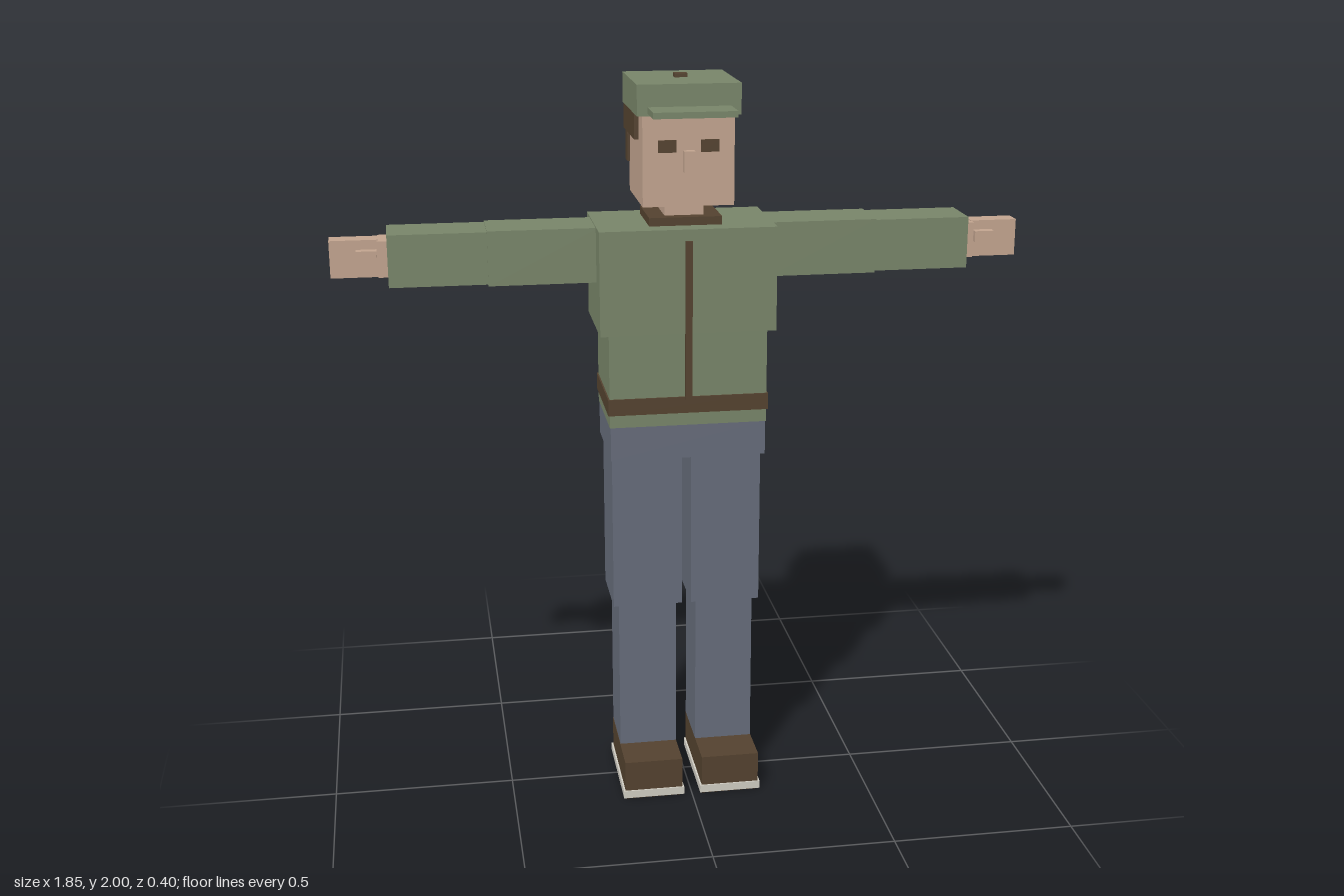
import * as THREE from 'three';

const material = (name, color) => {
  const m = new THREE.MeshStandardMaterial({ color });
  m.name = name;
  return m;
};

export function createModel() {
  const green = material('jacketGreen', 0x788569);
  const blue = material('trouserBlue', 0x666c7a);
  const skin = material('skin', 0xc2a48f);
  const brown = material('darkBrown', 0x54422f);
  const pale = material('solePale', 0xcfccc2);

  const model = new THREE.Group();
  model.name = 'figure';

  // Box given by its [min, max] range on each axis
  const box = (parent, name, mat, [x0, x1], [y0, y1], [z0, z1]) => {
    const mesh = new THREE.Mesh(new THREE.BoxGeometry(x1 - x0, y1 - y0, z1 - z0), mat);
    mesh.position.set((x0 + x1) / 2, (y0 + y1) / 2, (z0 + z1) / 2);
    mesh.name = name;
    parent.add(mesh);
  };
  const group = (name) => {
    const g = new THREE.Group();
    g.name = name;
    model.add(g);
    return g;
  };
  // Range symmetric about x = 0
  const wide = (h) => [-h, h];

  // Head and face
  const head = group('head');
  box(head, 'skull', skin, wide(0.12), [1.675, 1.912], [-0.172, 0.087]);
  box(head, 'nose', skin, wide(0.015), [1.765, 1.82], [0.08, 0.109]);
  box(head, 'neck', skin, wide(0.052), [1.63, 1.68], [-0.1, 0.01]);
  box(head, 'backHair', brown, wide(0.127), [1.755, 1.925], [-0.2, -0.16]);

  // Cap
  const cap = group('cap');
  box(cap, 'crown', green, wide(0.135), [1.91, 1.99], [-0.19, 0.098]);
  box(cap, 'brim', green, wide(0.108), [1.917, 1.933], [0.05, 0.2]);
  box(cap, 'button', brown, wide(0.017), [1.985, 2.0], [-0.07, -0.038]);

  // Jacket
  const jacket = group('jacket');
  box(jacket, 'collar', brown, wide(0.097), [1.605, 1.637], [-0.14, 0.04]);
  box(jacket, 'chest', green, wide(0.236), [1.335, 1.615], [-0.187, 0.094]);
  box(jacket, 'waist', green, wide(0.213), [1.08, 1.34], [-0.176, 0.086]);
  box(jacket, 'waistband', brown, wide(0.217), [1.115, 1.16], [-0.18, 0.09]);
  box(jacket, 'zipper', brown, wide(0.009), [1.155, 1.585], [0.08, 0.1]);

  // Trousers top
  box(model, 'hips', blue, wide(0.211), [0.987, 1.08], [-0.176, 0.086]);

  // Paired parts, mirrored across x
  for (const [label, s] of [['left', 1], ['right', -1]]) {
    const side = (a, b) => (s > 0 ? [a, b] : [-b, -a]);

    box(head, label + 'Eye', brown, side(0.032, 0.08), [1.815, 1.847], [0.083, 0.09]);
    box(head, label + 'Hair', brown, side(0.115, 0.132), [1.84, 1.925], [-0.195, 0.018]);

    const arm = group(label + 'Arm');
    box(arm, 'upperSleeve', green, side(0.23, 0.52), [1.466, 1.612], [-0.126, 0.022]);
    box(arm, 'lowerSleeve', green, side(0.515, 0.778), [1.47, 1.609], [-0.122, 0.018]);
    box(arm, 'palm', skin, side(0.77, 0.803), [1.492, 1.588], [-0.098, -0.01]);
    box(arm, 'fingers', skin, side(0.8, 0.927), [1.491, 1.59], [-0.078, -0.025]);
    box(arm, 'thumb', skin, side(0.805, 0.858), [1.535, 1.565], [-0.04, 0]);

    const leg = group(label + 'Leg');
    box(leg, 'thigh', blue, side(0.013, 0.205), [0.547, 0.99], [-0.148, 0.054]);
    box(leg, 'calf', blue, side(0.028, 0.189), [0.1, 0.55], [-0.131, 0.039]);
    box(leg, 'boot', brown, side(0.028, 0.19), [0, 0.112], [-0.132, 0.156]);
    box(leg, 'sole', pale, side(0.023, 0.195), [0.003, 0.025], [-0.136, 0.16]);
  }

  return model;
}
